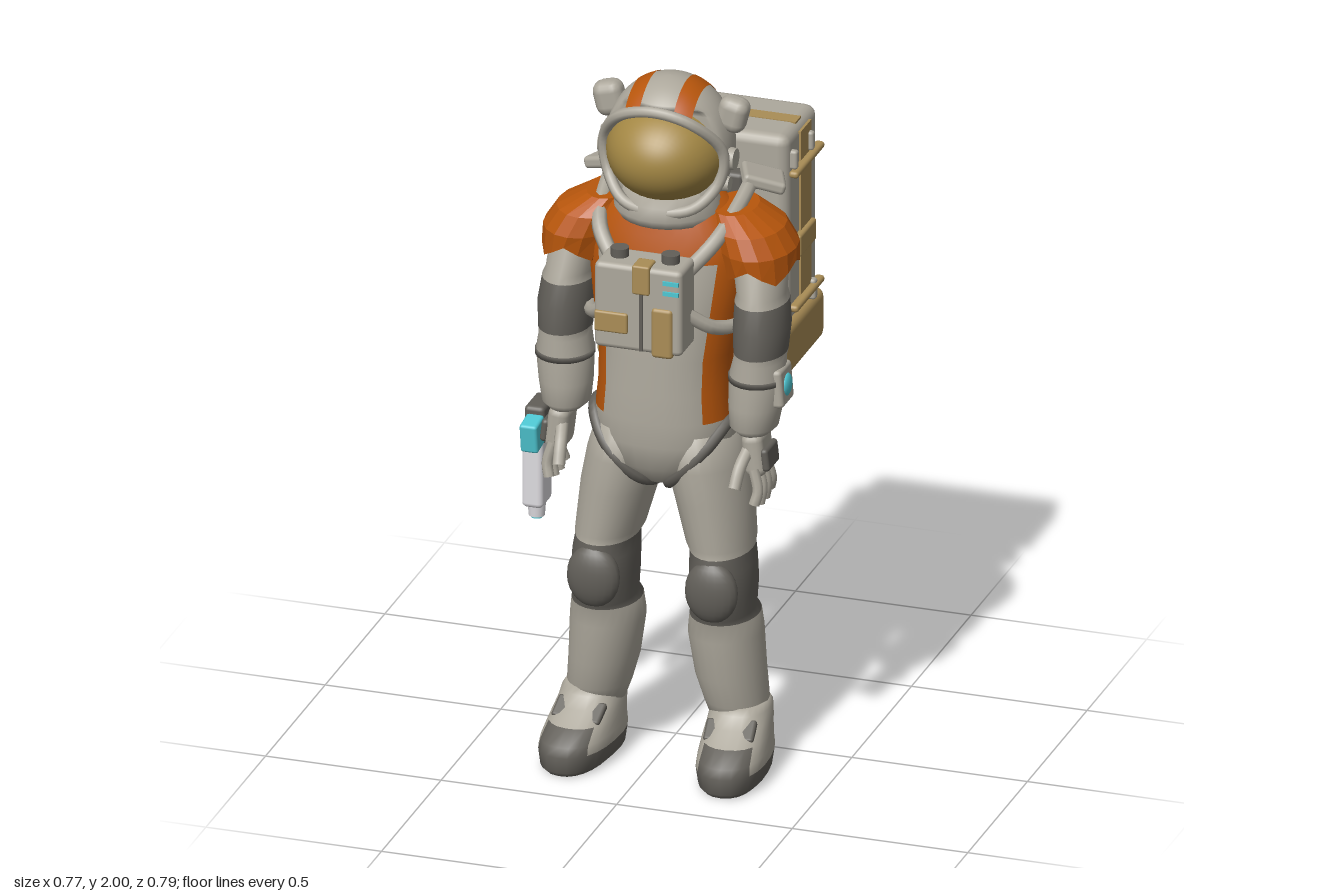
import * as THREE from 'three';
import { RoundedBoxGeometry } from 'three/addons/geometries/RoundedBoxGeometry.js';

const mat = (name, color, opts = {}) => {
  const m = new THREE.MeshStandardMaterial({ color, ...opts });
  m.name = name;
  return m;
};

export function createModel() {
  const suit = mat('suitGrey', 0xada89c), dark = mat('darkGrey', 0x625f59);
  const orange = mat('orange', 0xb8560c, { side: THREE.DoubleSide });
  const tan = mat('tan', 0xaa8d56), gold = mat('visorGold', 0xa38744);
  const cyan = mat('cyan', 0x4fc8d4), white = mat('white', 0xdedce0);

  const model = new THREE.Group();
  const body = new THREE.Group();
  body.name = 'astronaut';
  body.position.x = 0.022;
  model.add(body);

  const add = (name, geo, material, pos = [0, 0, 0], rot = [0, 0, 0], parent = body) => {
    const m = new THREE.Mesh(geo, material);
    m.name = name;
    m.position.set(...pos);
    m.rotation.set(...rot);
    parent.add(m);
    return m;
  };
  const rbox = (w, h, d, r = 0.012) => new RoundedBoxGeometry(w, h, d, 2, r);
  const tube = (pts, r, closed = false, n = 28) => new THREE.TubeGeometry(
    new THREE.CatmullRomCurve3(pts.map(p => new THREE.Vector3(...p)), closed), n, r, 8, closed);

  // Skin over elliptical rings [y, cx, cz, rx, rz], listed upwards; pick(y, angle) gives a material slot.
  function loft(rings, { s = 1, n = 24, pow = 1, pick = () => 0, caps = true, ripple = 0 } = {}) {
    const pos = [], faces = [[], []];
    rings.forEach(([y, cx, cz, rx, rz], i) => {
      for (let j = 0; j < n; j++) {
        const a = j / n * Math.PI * 2, sn = Math.sin(a), cs = Math.cos(a);
        pos.push(s * cx + rx * Math.sign(sn) * Math.abs(sn) ** pow,
          y + (i === 0 ? ripple * Math.cos(a * 4) : 0),
          cz + rz * Math.sign(cs) * Math.abs(cs) ** pow);
      }
    });
    const last = rings.length - 1;
    for (let i = 0; i < last; i++) for (let j = 0; j < n; j++) {
      const k = (j + 1) % n, a = i * n + j, b = i * n + k;
      const ang = Math.abs(((j + 0.5) / n * 2 + 1) % 2 - 1) * Math.PI;
      faces[pick((rings[i][0] + rings[i + 1][0]) / 2, ang)].push(a, b, b + n, a, b + n, a + n);
    }
    if (caps) [0, last].forEach(i => {
      const c = pos.length / 3, [y, cx, cz] = rings[i];
      pos.push(s * cx, y, cz);
      for (let j = 0; j < n; j++) {
        const a = i * n + j, b = i * n + (j + 1) % n;
        faces[pick(y, Math.PI)].push(...(i ? [c, a, b] : [c, b, a]));
      }
    });
    const g = new THREE.BufferGeometry();
    g.setAttribute('position', new THREE.Float32BufferAttribute(pos, 3));
    g.setIndex([...faces[0], ...faces[1]]);
    g.addGroup(0, faces[0].length, 0);
    g.addGroup(faces[0].length, faces[1].length, 1);
    g.computeVertexNormals();
    return g;
  }

  // Torso: orange jacket with a grey front panel and grey pelvis
  add('torso', loft([
    [0.84, 0, 0.14, 0.05, 0.09], [0.9, 0, 0.14, 0.165, 0.145], [0.97, 0, 0.135, 0.197, 0.163],
    [1.04, 0, 0.145, 0.193, 0.155], [1.12, 0, 0.14, 0.186, 0.157], [1.22, 0, 0.13, 0.188, 0.162],
    [1.36, 0, 0.11, 0.212, 0.175], [1.5, 0, 0.095, 0.232, 0.168], [1.57, 0, 0.095, 0.22, 0.15],
    [1.62, 0, 0.1, 0.17, 0.13], [1.66, 0, 0.11, 0.11, 0.11],
  ], { n: 32, pow: 0.9, pick: (y, a) => (y > 1.04 && !(y < 1.5 && a < 0.72) ? 1 : 0) }), [suit, orange]);
  add('neckRing', loft([[1.6, 0, 0.12, 0.14, 0.14], [1.625, 0, 0.125, 0.15, 0.15],
    [1.66, 0, 0.13, 0.13, 0.135], [1.69, 0, 0.13, 0.12, 0.12]]), suit);

  // Helmet: shell with a recessed face opening
  const head = new THREE.Group();
  head.name = 'helmet';
  head.position.set(0.004, 1.8, 0.125);
  body.add(head);
  const shell = new THREE.SphereGeometry(1, 48, 36), p = shell.attributes.position;
  for (let i = 0; i < p.count; i++) {
    if (p.getZ(i) > 0.35 && p.getY(i) < 0.68 && p.getY(i) > -0.78) p.setZ(i, 0.35);
  }
  shell.scale(0.178, 0.2, 0.172);
  shell.computeVertexNormals();
  add('helmetShell', shell, suit, [0, 0, 0], [0, 0, 0], head);
  for (const s of [-1, 1]) {
    const pts = [];
    for (let i = 0; i <= 4; i++) {
      const t = (s > 0 ? 0.27 : -0.53) + 0.26 * i / 4;
      pts.push(new THREE.Vector2(Math.sqrt(1 - t * t), t));
    }
    const band = new THREE.LatheGeometry(pts, 40, -3.75, 3.03);
    band.rotateZ(-Math.PI / 2);
    band.scale(0.18, 0.2015, 0.174);
    add('helmetStripe', band, orange, [0, 0, 0], [0, 0, 0], head);
    add('lampPod', rbox(0.085, 0.1, 0.07, 0.03), suit, [s * 0.175, 0.105, -0.01], [0, 0, s * -0.25], head);
    add('visorHinge', new THREE.CylinderGeometry(0.03, 0.034, 0.03, 18), suit,
      [s * 0.178, -0.015, 0.02], [0, 0, -s * Math.PI / 2], head);
    add('airPort', new THREE.CylinderGeometry(0.02, 0.024, 0.03, 14), suit,
      [s * 0.158, -0.095, 0.01], [0, 0, -s * Math.PI / 2], head);
  }
  const visor = new THREE.SphereGeometry(1, 36, 18, 0, Math.PI * 2, 0, Math.PI / 2);
  visor.rotateX(Math.PI / 2);
  visor.scale(0.168, 0.142, 0.18);
  add('visor', visor, gold, [0, -0.005, 0.015], [0, 0, 0], head);
  const half = [[0.1, 0.118, 0.125], [0.168, 0.02, 0.06], [0.16, -0.07, 0.06], [0.1, -0.14, 0.105]];
  add('visorFrame', tube([[0, 0.145, 0.14], ...half, [0, -0.155, 0.125],
    ...half.map(([x, y, z]) => [-x, y, z]).reverse()], 0.016, true, 64), suit, [0, 0, 0], [0, 0, 0], head);

  // Limbs and harness, one pass per side
  for (const s of [-1, 1]) {
    const side = s > 0 ? 'left' : 'right';
    const put = (name, geo, m, [x, y, z], [rx, ry, rz] = [0, 0, 0]) =>
      add(side + name, geo, m, [s * x, y, z], [rx, s * ry, s * rz]);
    const path = pts => pts.map(([x, y, z]) => [s * x, y, z]);

    // Leg with dark knee section
    put('Leg', loft([
      [0.15, 0.2, 0.13, 0.075, 0.085], [0.2, 0.195, 0.13, 0.088, 0.1], [0.28, 0.18, 0.135, 0.096, 0.115],
      [0.4, 0.168, 0.14, 0.102, 0.122], [0.455, 0.168, 0.145, 0.095, 0.12], [0.47, 0.168, 0.155, 0.084, 0.125],
      [0.54, 0.168, 0.16, 0.09, 0.132], [0.61, 0.166, 0.158, 0.088, 0.13], [0.65, 0.163, 0.153, 0.085, 0.125],
      [0.67, 0.158, 0.148, 0.092, 0.13], [0.8, 0.134, 0.137, 0.104, 0.145], [0.9, 0.112, 0.133, 0.108, 0.152],
      [1.0, 0.1, 0.135, 0.09, 0.14],
    ], { s, pick: y => (y > 0.46 && y < 0.66 ? 1 : 0) }), [suit, dark], [0, 0, 0]);
    put('KneePad', new THREE.SphereGeometry(1, 20, 14).scale(0.075, 0.09, 0.04), dark, [0.168, 0.555, 0.265]);
    put('HipSeam', tube(path([[0.19, 1.03, 0.19], [0.155, 0.975, 0.247], [0.1, 0.91, 0.268],
      [0.04, 0.85, 0.235], [0.02, 0.825, 0.15], [0.05, 0.87, 0.01], [0.12, 0.96, -0.005],
      [0.185, 1.02, 0.09]]), 0.017, true, 48), dark, [0, 0, 0]);

    // Boot
    put('Boot', loft([
      [0, 0, 0.075, 0.075, 0.165], [0.015, 0, 0.075, 0.09, 0.18], [0.06, 0, 0.075, 0.097, 0.183],
      [0.085, 0, 0.07, 0.094, 0.175], [0.12, 0, 0.045, 0.09, 0.145], [0.15, 0, 0.015, 0.086, 0.115],
      [0.18, 0, 0, 0.082, 0.1], [0.2, 0, 0, 0.07, 0.09],
    ], { pow: 0.85, pick: (y, a) => (y < 0.065 || (y < 0.11 && a < 0.75) ? 1 : 0) }),
    [suit, dark], [0.21, 0, 0.133], [0, 0.09, 0]);
    put('BootStrap', rbox(0.14, 0.022, 0.07, 0.008), dark, [0.215, 0.143, 0.245], [0.6, 0.09, 0]);

    // Arm with dark elbow section
    put('Arm', loft([
      [1.02, 0.268, 0.2, 0.045, 0.055], [1.04, 0.267, 0.198, 0.066, 0.075], [1.1, 0.27, 0.193, 0.074, 0.082],
      [1.18, 0.275, 0.185, 0.079, 0.088], [1.23, 0.277, 0.178, 0.07, 0.09], [1.25, 0.278, 0.172, 0.072, 0.098],
      [1.32, 0.278, 0.162, 0.077, 0.104], [1.39, 0.274, 0.15, 0.072, 0.1], [1.41, 0.272, 0.145, 0.066, 0.095],
      [1.5, 0.258, 0.115, 0.075, 0.1], [1.57, 0.23, 0.095, 0.075, 0.09], [1.61, 0.2, 0.09, 0.04, 0.05],
    ], { s, pick: y => (y > 1.24 && y < 1.4 ? 1 : 0) }), [suit, dark], [0, 0, 0]);
    put('CuffRing', loft([[1.17, 0.275, 0.186, 0.081, 0.09], [1.185, 0.275, 0.185, 0.081, 0.09]], { s }), dark, [0, 0, 0]);
    const flap = loft([
      [1.475, 0.262, 0.11, 0.096, 0.13], [1.53, 0.25, 0.105, 0.106, 0.138], [1.585, 0.225, 0.1, 0.095, 0.125],
      [1.63, 0.18, 0.09, 0.06, 0.09],
    ], { s, n: 16, ripple: 0.022 }).toNonIndexed();
    flap.computeVertexNormals();
    put('ShoulderFlap', flap, [orange, orange], [0, 0, 0]);

    // Glove
    put('Palm', rbox(0.06, 0.13, 0.11, 0.025), suit, [0.28, 0.965, 0.205], [0, 0, 0.12]);
    put('KnucklePlate', rbox(0.022, 0.065, 0.095, 0.01), dark, [0.314, 0.955, 0.205], [0, 0, 0.12]);
    for (let f = 0; f < 4; f++) {
      const z = 0.165 + f * 0.03;
      put('Finger', tube(path([[0.285, 0.93, z], [0.3, 0.87, z - 0.015 + f * 0.008],
        [0.292, 0.815 + Math.abs(f - 1.5) * 0.012, z - 0.025 + f * 0.014]]), 0.0155, false, 8), suit, [0, 0, 0]);
    }
    put('Thumb', tube(path([[0.265, 0.98, 0.24], [0.255, 0.94, 0.285], [0.25, 0.89, 0.315]]), 0.018, false, 8), suit, [0, 0, 0]);

    // Harness hoses and shoulder brackets
    put('UpperStrap', tube(path([[0.17, 1.62, -0.08], [0.19, 1.655, 0], [0.19, 1.63, 0.1], [0.165, 1.57, 0.22],
      [0.09, 1.48, 0.29]]), 0.022), suit, [0, 0, 0]);
    put('LowerStrap', tube(path([[0.1, 1.39, 0.31], [0.17, 1.33, 0.25], [0.215, 1.31, 0.14],
      [0.2, 1.34, 0], [0.13, 1.38, -0.09]]), 0.02), suit, [0, 0, 0]);
    put('ShoulderBracket', rbox(0.12, 0.035, 0.11), suit, [0.215, 1.66, -0.03], [0, 0.4, -0.3]);

    // Backpack side fittings
    put('PackStripe', new THREE.BoxGeometry(0.008, 0.52, 0.09), tan, [0.264, 1.475, -0.235]);
    put('PackBuckle', rbox(0.025, 0.065, 0.135, 0.008), tan, [0.268, 1.412, -0.222]);
    for (const y of [1.64, 1.245]) put('PackRail', rbox(0.028, 0.02, 0.23, 0.009), tan, [0.273, y, -0.225]);
    for (const z of [-0.13, -0.265]) put('PackClip', rbox(0.03, 0.055, 0.022, 0.008), suit, [0.266, 1.68, z]);
    put('LowerClip', rbox(0.03, 0.06, 0.025, 0.008), suit, [0.266, 1.235, -0.285]);
  }

  // Chest control box
  add('chestBox', rbox(0.25, 0.25, 0.12, 0.015), suit, [0, 1.415, 0.33]);
  add('chestTopStrap', rbox(0.05, 0.085, 0.06, 0.006), tan, [0.01, 1.504, 0.366]);
  add('chestPouch', rbox(0.095, 0.06, 0.02, 0.006), tan, [-0.075, 1.37, 0.387]);
  add('chestPocket', rbox(0.06, 0.145, 0.03, 0.01), tan, [0.07, 1.355, 0.382]);
  add('chestSeam', new THREE.BoxGeometry(0.01, 0.23, 0.006), dark, [0.01, 1.41, 0.389]);
  for (const y of [1.505, 1.475]) add('chestLight', new THREE.BoxGeometry(0.045, 0.012, 0.008), cyan, [0.095, y, 0.391]);
  for (const x of [-0.072, 0.073]) {
    add('chestKnob', new THREE.CylinderGeometry(0.025, 0.025, 0.03, 14), dark, [x, 1.55, 0.325]);
  }

  // Left wrist display
  add('wristUnit', rbox(0.04, 0.11, 0.1), suit, [0.338, 1.16, 0.185], [0, 0, 0.08]);
  add('wristLight', new THREE.SphereGeometry(1, 18, 12).scale(0.014, 0.033, 0.033), cyan, [0.354, 1.16, 0.185]);

  // Backpack
  add('packMount', rbox(0.3, 0.42, 0.05), dark, [0, 1.44, -0.075]);
  add('packBody', rbox(0.526, 0.56, 0.258, 0.03), suit, [0, 1.475, -0.223]);
  add('packTopStripe', new THREE.BoxGeometry(0.5, 0.006, 0.045), tan, [0, 1.754, -0.223]);
  add('packBase', rbox(0.54, 0.148, 0.345, 0.025), tan, [0, 1.124, -0.222]);

  // Holstered sidearm, muzzle down
  const gun = new THREE.Group();
  gun.name = 'sidearm';
  gun.position.set(-0.375, 0, 0);
  body.add(gun);
  const part = (name, geo, m, pos, rot = [0, 0, 0]) => add(name, geo, m, pos, rot, gun);
  part('gunBody', rbox(0.06, 0.24, 0.09, 0.014), white, [0, 0.805, 0.13]);
  part('gunMuzzle', new THREE.CylinderGeometry(0.026, 0.022, 0.05, 16), white, [0, 0.675, 0.13]);
  part('gunMuzzleLight', new THREE.CylinderGeometry(0.016, 0.016, 0.008, 14), cyan, [0, 0.648, 0.13]);
  part('gunFrame', rbox(0.058, 0.11, 0.11, 0.012), dark, [0.01, 0.935, 0.13]);
  part('gunCell', rbox(0.05, 0.085, 0.07, 0.008), cyan, [0.015, 0.925, 0.212], [0.15, 0, 0]);
  part('gunGrip', rbox(0.045, 0.055, 0.17, 0.014), dark, [0.02, 0.925, 0.005], [0.45, 0, 0]);
  part('gunGripEnd', rbox(0.058, 0.075, 0.025, 0.01), dark, [0.02, 0.963, -0.072], [0.45, 0, 0]);
  part('triggerGuard', new THREE.TorusGeometry(0.032, 0.007, 8, 20), white, [0.015, 0.855, 0.06], [0, Math.PI / 2, 0]);

  return model;
}
